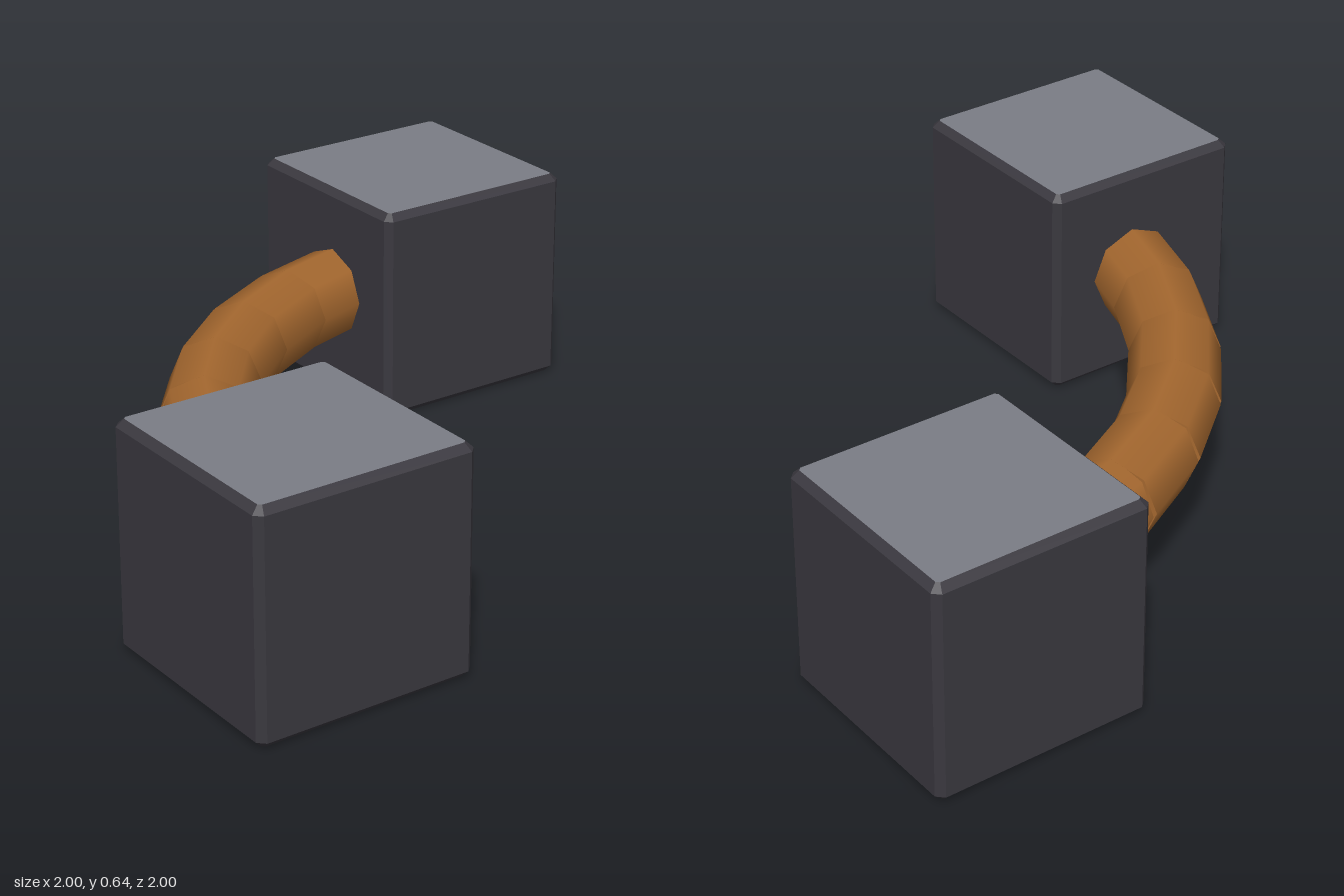
import * as THREE from 'three';

const SIZE = 0.637;              // block edge length
const BEVEL = 0.02;
const RADIUS = 1 - SIZE / 2;     // distance of block centres from the axes
const ARC = RADIUS * 2;          // radius of the quarter circle of links
const LINKS = 8;

const mat = (name, color) => {
  const m = new THREE.MeshStandardMaterial({ color });
  m.name = name;
  return m;
};

// Bevelled cube: caps are group 0, sides and bevels group 1
function blockGeometry() {
  const a = SIZE / 2 - BEVEL, c = a - 0.008;
  const shape = new THREE.Shape([
    [a, -c], [a, c], [c, a], [-c, a], [-a, c], [-a, -c], [-c, -a], [c, -a],
  ].map(([x, y]) => new THREE.Vector2(x, y)));
  const geo = new THREE.ExtrudeGeometry(shape, {
    depth: SIZE - 2 * BEVEL, bevelEnabled: true, bevelSegments: 1,
    bevelSize: BEVEL, bevelThickness: BEVEL,
  });
  geo.rotateX(-Math.PI / 2);
  geo.translate(0, BEVEL, 0);
  return geo;
}

export function createModel() {
  const group = new THREE.Group();
  const slate = mat('dark slate', 0x3a383f);
  const grey = mat('grey', 0x7b7d85);
  const wood = mat('orange brown', 0xa5682f);

  // Two end blocks on the diagonal
  const blockGeo = blockGeometry();
  for (const [name, s] of [['backBlock', -1], ['frontBlock', 1]]) {
    const block = new THREE.Mesh(blockGeo, [grey, slate]);
    block.name = name;
    block.position.set(s * RADIUS, 0, s * RADIUS);
    group.add(block);
  }

  // Bent arm: straight octagonal links laid along chords of a quarter circle
  const arm = new THREE.Group();
  arm.name = 'curvedArm';
  const step = Math.PI / 2 / LINKS;
  const chord = 2 * ARC * Math.sin(step / 2);
  const linkGeo = new THREE.CylinderGeometry(0.13, 0.13, chord * 1.03, 8);
  linkGeo.rotateZ(Math.PI / 2);  // axis along x
  const mid = ARC * Math.cos(step / 2);
  for (let i = 0; i < LINKS; i++) {
    const t = (i + 0.5) * step;
    const link = new THREE.Mesh(linkGeo, wood);
    link.name = `armLink${i + 1}`;
    link.position.set(RADIUS - mid * Math.cos(t), SIZE / 2 + 0.005, -RADIUS + mid * Math.sin(t));
    link.rotation.y = -Math.atan2(Math.cos(t), Math.sin(t));
    arm.add(link);
  }
  group.add(arm);
  return group;
}
